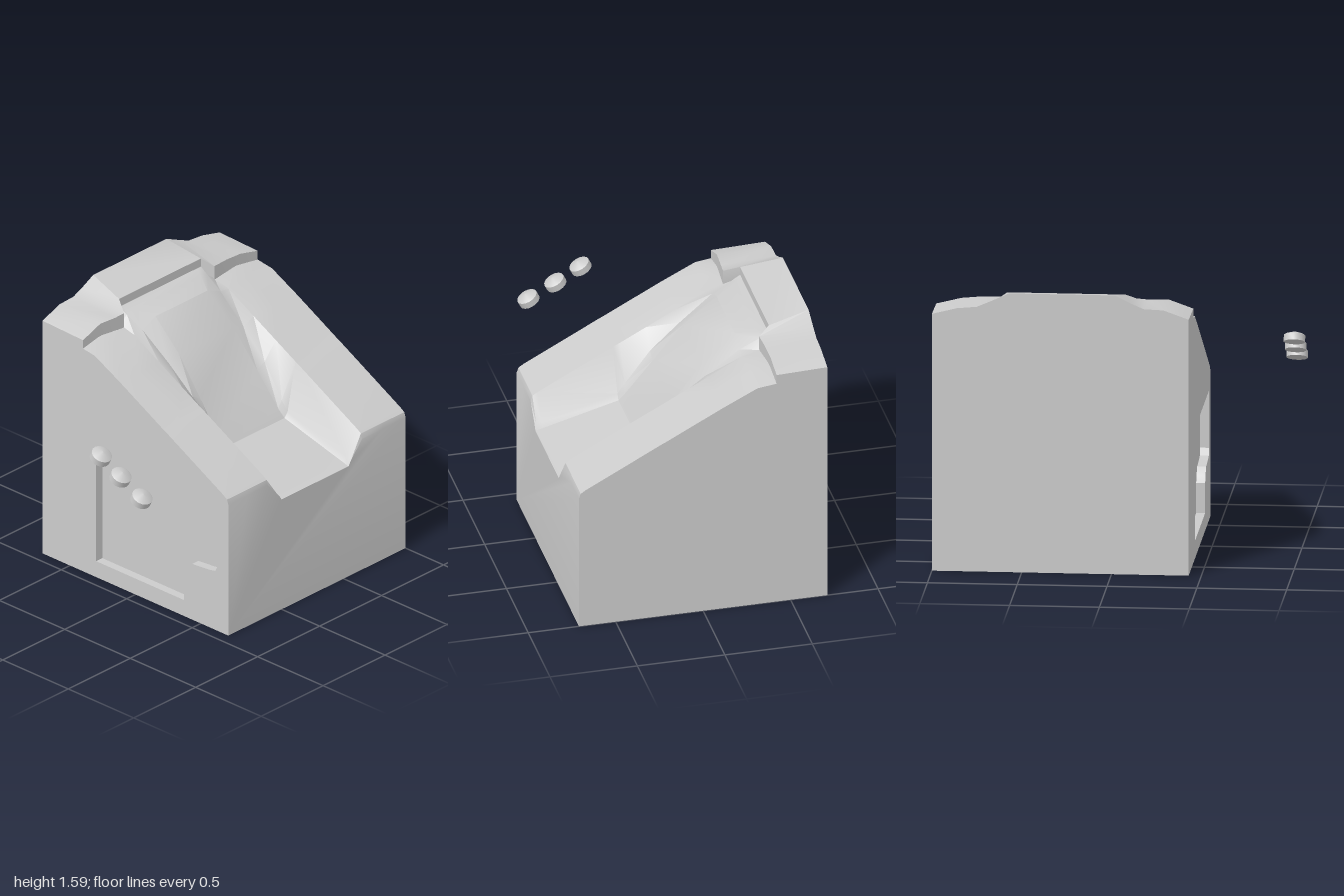
import * as THREE from 'three';
import { toCreasedNormals } from 'three/addons/utils/BufferGeometryUtils.js';

const LEFT = -0.43, RIGHT = 1, MIRROR = 0.54;
const grey = new THREE.MeshStandardMaterial({ color: 0xcccccc, side: THREE.DoubleSide });

// Skins a row of equal rings; caps are flattened along axis u (0 = x, 2 = z) and y
function loft(rings, u, skipLast = false) {
  const pos = [], n = rings[0].length;
  for (let i = 0; i < rings.length - 1; i++) {
    for (let j = 0; j < (skipLast ? n - 1 : n); j++) {
      const k = (j + 1) % n;
      const a = rings[i][j], b = rings[i][k], c = rings[i + 1][k], d = rings[i + 1][j];
      pos.push(...a, ...b, ...c, ...a, ...c, ...d);
    }
  }
  [rings[0], rings[rings.length - 1]].forEach((ring, end) => {
    const r = [...ring].reverse();
    const flat = r.map((p) => new THREE.Vector2(p[u], p[1]));
    for (const f of THREE.ShapeUtils.triangulateShape(flat, [])) {
      if (end) f.reverse();
      f.forEach((i) => pos.push(...r[i]));
    }
  });
  const g = new THREE.BufferGeometry();
  g.setAttribute('position', new THREE.Float32BufferAttribute(pos, 3));
  return toCreasedNormals(g, 0.45);
}

function add(parent, geometry, name) {
  const m = new THREE.Mesh(geometry, grey);
  m.name = name;
  parent.add(m);
  return m;
}

// One cross-section: arms either side of a sunken seat channel
function section([z, arm, crown, edgeX, edgeY, innerX, floor]) {
  const half = [[-0.28, arm + crown], [-0.11, arm + crown * 0.6], [edgeX, edgeY], [innerX, floor]];
  const other = half.map(([x, y]) => [MIRROR - x, y]).reverse();
  return [[LEFT, arm], ...half, ...other, [RIGHT, arm], [RIGHT, 0], [LEFT, 0]].map(([x, y]) => [x, y, z]);
}

export function createModel() {
  const group = new THREE.Group();

  // Block body with arms, seat and backrest, front to back
  const rows = [
    [0.71, 0.82, 0, -0.02, 0.72, 0, 0.69],
    [0.70, 0.85, 0, -0.02, 0.722, 0, 0.692],
    [0.67, 0.87, 0, -0.02, 0.73, 0, 0.70],
    [0.24, 1.10, 0, -0.005, 0.86, 0.02, 0.83],
    [0.20, 1.12, 0, 0, 0.92, 0.03, 0.88],
    [0.05, 1.20, 0, -0.02, 1.10, 0.04, 1.07],
    [-0.12, 1.29, 0, -0.03, 1.25, 0.05, 1.28],
    [-0.31, 1.385, 0.012, -0.045, 1.40, 0.06, 1.445],
    [-0.42, 1.40, 0.03, -0.055, 1.46, 0.0, 1.472],
    [-0.475, 1.40, 0.03, -0.06, 1.49, -0.03, 1.49],
    [-0.71, 1.38, 0, -0.06, 1.38, -0.03, 1.38],
  ];
  add(group, loft(rows.map(section), 0, true), 'body');

  // Left wall with a stepped pocket sunk into it
  const V = (p) => p.map(([x, y]) => new THREE.Vector2(x, y));
  const outline = V([[-0.71, 0], [0.71, 0], ...rows.map((r) => [r[0], r[1]])]);
  const pocket = V([[-0.30, 0.10], [0.37, 0.10], [0.37, 0.27], [0.39, 0.31], [0.435, 0.35],
    [0.56, 0.36], [0.61, 0.37], [0.63, 0.41], [0.63, 0.74], [-0.30, 0.74]]);
  const wall = new THREE.Shape(outline);
  wall.holes.push(new THREE.Path(pocket));
  const side = new THREE.Group();
  side.name = 'leftWall';
  side.rotation.y = -Math.PI / 2;
  side.position.x = LEFT;
  group.add(side);
  add(side, new THREE.ShapeGeometry(wall), 'leftWallFace');
  add(side, new THREE.ShapeGeometry(new THREE.Shape(pocket)), 'pocketFloor').position.z = -0.05;
  const rim = [];
  pocket.forEach((a, i) => {
    const b = pocket[(i + 1) % pocket.length];
    rim.push(a.x, a.y, 0, a.x, a.y, -0.05, b.x, b.y, -0.05);
    rim.push(a.x, a.y, 0, b.x, b.y, -0.05, b.x, b.y, 0);
  });
  const rimGeometry = new THREE.BufferGeometry();
  rimGeometry.setAttribute('position', new THREE.Float32BufferAttribute(rim, 3));
  add(side, toCreasedNormals(rimGeometry, 0.4), 'pocketRim');

  // Raised top slab: front x, front z, low y, front y, back x, back y
  const slab = [
    [-0.43, -0.40, 1.38, 1.45, -0.43, 1.46],
    [-0.29, -0.40, 1.40, 1.50, -0.29, 1.51],
    [-0.18, -0.395, 1.40, 1.495, -0.18, 1.515],
    [-0.11, -0.39, 1.40, 1.50, -0.11, 1.545],
    [-0.06, -0.475, 1.47, 1.54, -0.02, 1.59],
    [0.60, -0.475, 1.47, 1.54, 0.57, 1.59],
    [0.64, -0.41, 1.40, 1.50, 0.68, 1.54],
    [0.74, -0.415, 1.40, 1.50, 0.75, 1.51],
    [0.86, -0.42, 1.39, 1.49, 0.86, 1.50],
    [1.00, -0.42, 1.38, 1.455, 1.00, 1.465],
  ];
  const slabRings = slab.map(([x, z, low, top, bx, by]) =>
    [[bx, by, -0.71], [x, top, z], [x, low, z], [bx, 1.38, -0.71]]);
  add(group, loft(slabRings, 2), 'topSlab');

  // Three loose buttons floating beside the body, tilted with the slope
  const cap = [[0, 0], [0.06, 0], [0.06, 0.038], [0.05, 0.044], [0, 0.06]];
  const buttonGeometry = toCreasedNormals(new THREE.LatheGeometry(V(cap), 16), 0.5);
  [[-0.93, 0.965, 0.51], [-0.935, 1.045, 0.355], [-0.94, 1.125, 0.21]].forEach((p, i) => {
    const b = add(group, buttonGeometry, 'button' + (i + 1));
    b.position.set(...p);
    b.rotation.x = 0.47;
  });
  return group;
}
